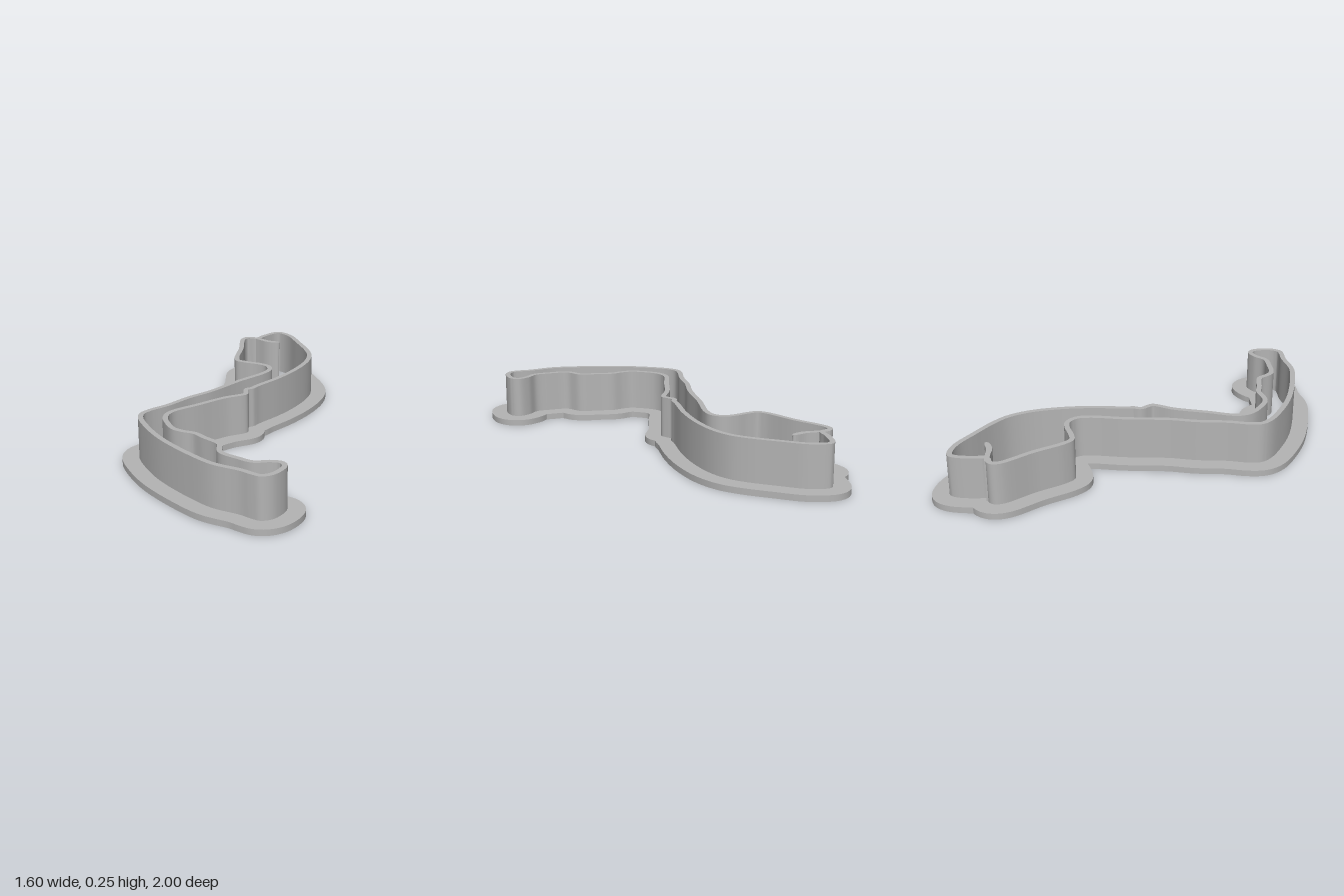
import * as THREE from 'three';
import { toCreasedNormals } from 'three/addons/utils/BufferGeometryUtils.js';

// Outer face of the wall seen from above: x, z pairs in hundredths
const OUTLINE = [
  45, -91, 48, -90, 50.5, -87, 56, -89, 65, -91, 69, -90, 71, -85.5, 71.5, -78,
  69, -66, 65, -50, 61, -41, 53, -32, 39.5, -23, 24, -16, 8, -11, 3, -9,
  0, -9, -2, -6, -4.5, -3, -17, -3.5, -34, -1.5, -50, 0.5, -55, 5, -57.5, 13,
  -58, 20, -56, 24.5, -52, 30, -50.5, 37, -48, 48.5, -52, 57, -48.5, 67, -45, 73.5,
  -38.5, 76.5, -34, 81, -34.5, 85.5, -38.5, 89, -46, 91.5, -51.5, 90, -54, 86, -56.5, 80,
  -64, 67.5, -68, 53, -71.5, 29, -71, 12, -68.5, -1.5, -65, -7, -59.5, -9.5, -48, -11.5,
  -33, -16, -19, -18.5, 1.5, -25, 20, -29.5, 25.5, -32.5, 27.5, -37.5, 25.5, -42.5,
  21, -48.5, 18, -54.5, 20, -60, 30.5, -73.5, 41, -89,
];
const TAB = [48.5, -89, 51, -82.5, 53, -77, 57.5, -71.5];

const BASE = 0.032, TOP = 0.25, WALL = 0.027, FLANGE = 0.086;

function curveFrom(list, closed) {
  const points = [];
  for (let i = 0; i < list.length; i += 2) points.push(new THREE.Vector3(list[i] / 100, list[i + 1] / 100, 0));
  return new THREE.CatmullRomCurve3(points, closed, 'centripetal');
}

// Parallel loop at a signed distance (outward positive), trimmed where it would cross itself
function offsetLoop(curve, distance, samples = 600) {
  const source = curve.getSpacedPoints(samples).slice(0, samples);
  const limit = Math.abs(distance) * 0.985;
  return source
    .map((p, i) => {
      const t = curve.getTangentAt(i / samples);
      return new THREE.Vector2(p.x + t.y * distance, p.y - t.x * distance);
    })
    .filter((q) => source.every((p) => Math.hypot(p.x - q.x, p.y - q.y) >= limit));
}

// Upright prism between two heights from a plan outline and an optional hole
function prism(name, outline, hole, y0, y1, material) {
  const shape = new THREE.Shape(outline);
  if (hole) shape.holes.push(new THREE.Path(hole));
  const geometry = new THREE.ExtrudeGeometry(shape, { depth: y1 - y0, bevelEnabled: false });
  geometry.rotateX(Math.PI / 2).translate(0, y1, 0);
  const mesh = new THREE.Mesh(toCreasedNormals(geometry, 0.6), material);
  mesh.name = name;
  return mesh;
}

export function createModel() {
  const group = new THREE.Group();
  group.name = 'outlineCutter';
  const grey = new THREE.MeshStandardMaterial({ color: 0xb4b4b4 });
  grey.name = 'plainGrey';

  const curve = curveFrom(OUTLINE, true);
  const outer = offsetLoop(curve, 0);
  const inner = offsetLoop(curve, -WALL);
  const rim = offsetLoop(curve, FLANGE);

  // Flat flange at the bottom and the tall thin wall on top of it
  group.add(prism('flange', rim, inner, 0, BASE, grey));
  group.add(prism('wall', outer, inner, BASE, TOP, grey));

  // Curved tab reaching into the opening, rounded at its free end
  const path = curveFrom(TAB, false);
  const left = [], right = [];
  for (let i = 0; i <= 40; i++) {
    const u = 1 - (1 - i / 40) ** 2;
    const p = path.getPointAt(u), t = path.getTangentAt(u);
    const w = (0.011 + 0.006 * u) * Math.sqrt(1 - u ** 10);
    left.push(new THREE.Vector2(p.x + t.y * w, p.y - t.x * w));
    if (i < 40) right.unshift(new THREE.Vector2(p.x - t.y * w, p.y + t.x * w));
  }
  group.add(prism('innerTab', [...left, ...right], null, 0, TOP, grey));

  return group;
}
